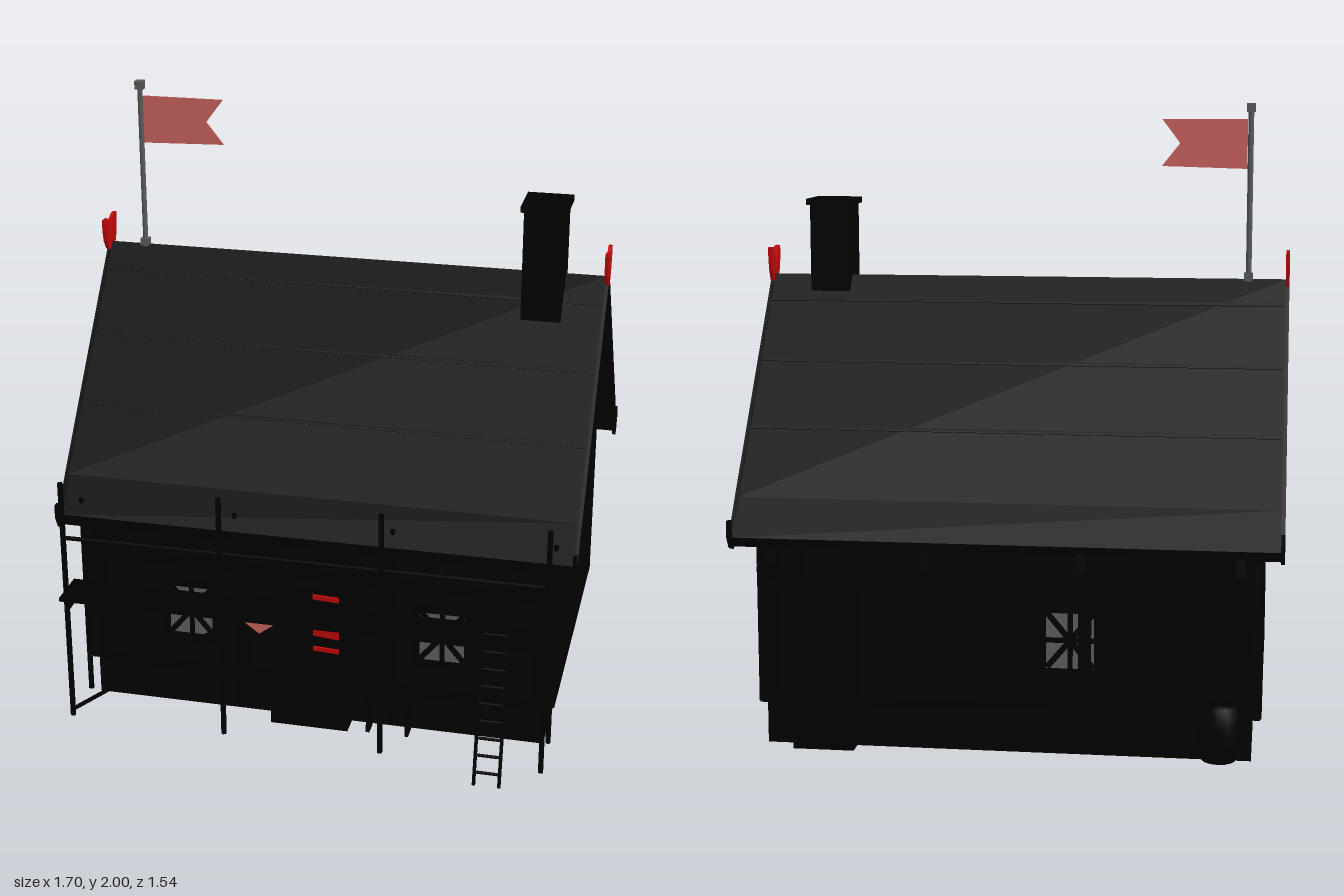
import * as THREE from 'three';

const mat = (name, color) => {
  const m = new THREE.MeshStandardMaterial({ color });
  m.name = name;
  return m;
};

export function createModel() {
  const house = new THREE.Group();
  house.name = 'house';
  const wallMat = mat('charcoal wall', 0x010101);
  const timber = mat('black timber', 0x000000);
  const red = mat('red paint', 0xc00808);
  const pink = mat('faded red cloth', 0xc9635d);
  const glass = mat('window grey', 0x606064);
  const metal = mat('pole grey', 0x5a5a5c);

  const add = (name, geo, material, x = 0, y = 0, z = 0, parent = house) => {
    const m = new THREE.Mesh(geo, material);
    m.name = name;
    m.position.set(x, y, z);
    parent.add(m);
    return m;
  };
  // box given by its limits
  const box = (name, x0, x1, y0, y1, z0, z1, material = timber, parent = house) =>
    add(name, new THREE.BoxGeometry(x1 - x0, y1 - y0, z1 - z0), material,
      (x0 + x1) / 2, (y0 + y1) / 2, (z0 + z1) / 2, parent);
  // round or square bar between two points
  const bar = (name, a, b, r, material = timber, sides = 6, parent = house) => {
    const p = new THREE.Vector3(...a), q = new THREE.Vector3(...b);
    const d = q.clone().sub(p);
    const m = add(name, new THREE.CylinderGeometry(r, r, d.length(), sides), material, 0, 0, 0, parent);
    m.position.copy(p).add(q).multiplyScalar(0.5);
    m.quaternion.setFromUnitVectors(new THREE.Vector3(0, 1, 0), d.normalize());
    return m;
  };
  const extrude = (pts, depth) => new THREE.ExtrudeGeometry(
    new THREE.Shape(pts.map(p => new THREE.Vector2(...p))), { depth, bevelEnabled: false });
  // (z, y) profile extruded along x from x0 to x1
  const profile = (name, pts, x0, x1, material = timber) => {
    const m = add(name, extrude(pts, x1 - x0), material, x1, 0, 0);
    m.rotation.y = -Math.PI / 2;
    return m;
  };

  // walls, open underneath
  box('frontWall', -0.76, 0.76, 0, 0.72, 0.41, 0.43, wallMat);
  box('backWall', -0.76, 0.76, 0, 0.73, -0.62, -0.6, wallMat);
  const gable = y => [[0.43, y], [0.43, 0.74], [-0.105, 1.39], [-0.62, 0.75], [-0.62, y]];
  for (const s of [-1, 1]) {
    profile('gableWall', gable(0), s * 0.75 - 0.01, s * 0.75 + 0.01, wallMat);
    profile('gableCladding', gable(0.13), s * 0.7725 - 0.0125, s * 0.7725 + 0.0125, wallMat);
  }

  // roof with flared eaves
  profile('roof', [[0.5, 0.69], [0.42, 0.8], [-0.105, 1.44], [-0.62, 0.79], [-0.71, 0.68],
    [-0.7, 0.65], [-0.62, 0.74], [-0.105, 1.385], [0.42, 0.745], [0.49, 0.65]], -0.84, 0.84);
  for (const s of [-1, 1]) {
    // verge boards with upturned tips
    profile('vergeBoard', [[0.5, 0.695], [0.42, 0.802], [-0.105, 1.445], [-0.62, 0.795], [-0.7, 0.69],
      [-0.715, 0.7], [-0.71, 0.735], [-0.73, 0.735], [-0.735, 0.69], [-0.71, 0.65], [-0.69, 0.64],
      [-0.62, 0.73], [-0.105, 1.37], [0.42, 0.735], [0.48, 0.64], [0.51, 0.65], [0.53, 0.69],
      [0.53, 0.735], [0.51, 0.735], [0.51, 0.7]], s * 0.845 - 0.006, s * 0.845 + 0.006);
    // ridge ornament
    const heart = [[-0.1, 1.405], [-0.07, 1.425], [-0.05, 1.455], [-0.042, 1.495], [-0.042, 1.53],
      [-0.07, 1.53], [-0.085, 1.52], [-0.1, 1.475], [-0.115, 1.52], [-0.13, 1.53], [-0.157, 1.53],
      [-0.155, 1.495], [-0.147, 1.455], [-0.13, 1.42]];
    profile('ridgeOrnament', heart, s * 0.845 - 0.006, s * 0.845 + 0.006, red);
  }
  // shingle course edges
  for (const t of [0.12, 0.4, 0.7]) {
    for (const [z, y] of [[0.42, 0.8], [-0.62, 0.79]]) {
      const pz = -0.105 + (z + 0.105) * t, py = 1.44 + (y - 1.44) * t;
      const m = box('shingleEdge', -0.835, 0.835, py - 0.003, py + 0.003, pz - 0.006, pz + 0.006);
      m.rotation.x = z > 0 ? 0.89 : -0.9;
    }
  }
  // eave brackets, reaching up into the roof
  for (const x of [-0.72, -0.24, 0.24, 0.72]) {
    profile('eaveBracket', [[0.43, 0.75], [0.43, 0.63], [0.48, 0.57], [0.5, 0.58], [0.495, 0.67]], x - 0.015, x + 0.015);
    profile('eaveBracket', [[-0.62, 0.76], [-0.62, 0.63], [-0.69, 0.57], [-0.71, 0.6], [-0.7, 0.67]], x - 0.015, x + 0.015);
  }

  // timber frame on long walls and gables
  for (const z of [0.433, -0.623]) {
    for (let i = 0; i < 7; i++) {
      const x = -0.735 + i * 0.245;
      if (Math.abs(Math.abs(x) - 0.49) > 0.02 && i !== 3) box('wallPost', x - 0.02, x + 0.02, 0.13, 0.7, z - 0.005, z + 0.005);
    }
    for (const y of [0.14, 0.53, 0.68]) box('wallBeam', -0.755, 0.755, y - 0.018, y + 0.018, z - 0.005, z + 0.005);
  }
  for (const s of [-1, 1]) {
    const x = s * 0.786;
    for (const [z, top] of [[0.4, 0.74], [0.17, 1.03], [-0.38, 1.02], [-0.59, 0.75]])
      box('gablePost', x - 0.004, x + 0.004, 0.14, top, z - 0.018, z + 0.018);
    for (const [y, a, b] of [[0.15, -0.61, 0.42], [0.55, -0.61, 0.42], [0.74, -0.6, 0.42], [1.05, -0.36, 0.15]])
      box('gableBeam', x - 0.004, x + 0.004, y - 0.018, y + 0.018, a, b);
  }

  // windows: pane through the wall, frame and star-shaped bars outside, plain cross inside
  const addWindow = (x, y, z, turn, depth, rim) => {
    const g = new THREE.Group();
    g.name = 'window';
    g.position.set(x, y, z);
    g.rotation.y = turn;
    house.add(g);
    const w = 0.075, h = 0.09;
    box('pane', -w, w, -h, h, -depth - 0.004, 0.002, glass, g);
    box('glazingBar', -0.008, 0.008, -h, h, -depth - 0.008, 0.006, timber, g);
    box('glazingBar', -w, w, -0.008, 0.008, -depth - 0.008, 0.006, timber, g);
    for (const s of [-1, 1]) {
      const cross = box('crossBar', -0.112, 0.112, -0.009, 0.009, 0, 0.006, timber, g);
      cross.rotation.z = s * Math.atan2(h, w);
      box('frameSide', s * 0.087 - 0.012, s * 0.087 + 0.012, -h - 0.02, h + 0.02, -depth - 0.008, rim, timber, g);
      box('frameRail', -w - 0.02, w + 0.02, s * 0.1 - 0.01, s * 0.1 + 0.01, -depth - 0.008, rim, timber, g);
    }
  };
  addWindow(-0.425, 0.355, 0.43, 0, 0.02, 0.02);
  addWindow(0.42, 0.355, 0.43, 0, 0.02, 0.02);
  addWindow(-0.2, 0.365, -0.62, Math.PI, 0.02, 0.02);
  addWindow(-0.785, 0.34, -0.1, -Math.PI / 2, 0.045, 0.007);
  addWindow(-0.785, 0.93, -0.1, -Math.PI / 2, 0.045, 0.007);

  // front door, step and bench
  box('frontDoor', -0.12, 0.09, 0.05, 0.48, 0.43, 0.438);
  box('frontStep', -0.14, 0.12, 0, 0.06, 0.43, 0.5);
  box('benchSeat', 0.17, 0.33, 0.112, 0.124, 0.435, 0.492);
  for (const x of [0.18, 0.31]) box('benchLeg', x, x + 0.012, 0, 0.112, 0.44, 0.49);

  // shield sign and slanted stripes on the door
  add('shieldSign', extrude([[-0.048, 0.42], [-0.048, 0.335], [0, 0.3], [0.048, 0.335], [0.048, 0.42]], 0.008),
    pink, -0.191, 0, 0.44);
  box('signBracket', -0.245, -0.14, 0.42, 0.43, 0.43, 0.45);
  for (const [y0, y1, slant] of [[0.443, 0.463, 0.004], [0.388, 0.423, 0.012], [0.306, 0.358, 0.008], [0.254, 0.272, 0.004]])
    add('doorStripe', extrude([[-0.008, y0 + slant], [0.078, y0], [0.078, y1 - slant], [-0.008, y1]], 0.008), red, 0, 0, 0.438);

  // chimney
  box('chimney', 0.58, 0.71, 1.25, 1.67, -0.146, 0.004, wallMat);
  box('chimneyCap', 0.57, 0.72, 1.67, 1.69, -0.157, 0.015, wallMat);

  // flagpole and swallowtail flag
  bar('flagpole', [-0.72, 1.43, -0.105], [-0.72, 1.98, -0.105], 0.009, metal, 8);
  box('flagpoleTop', -0.734, -0.706, 1.972, 2, -0.119, -0.091, metal);
  box('flagpoleFoot', -0.734, -0.706, 1.435, 1.46, -0.119, -0.091, metal);
  add('flag', extrude([[-0.71, 1.792], [-0.437, 1.8], [-0.495, 1.873], [-0.437, 1.95], [-0.71, 1.95]], 0.006),
    pink, 0, 0, -0.108);

  // scaffolding
  for (const x of [-0.78, -0.26, 0.26, 0.78]) {
    bar('outerPole', [x, 0.03, 0.647], [x, 0.875, 0.647], 0.009);
    bar('innerPole', [x, 0.03, 0.468], [x, 0.74, 0.468], 0.009);
    bar('crossPole', [x, 0.426, 0.47], [x, 0.426, 0.65], 0.008);
  }
  box('scaffoldDeck', -0.815, 0.81, 0.438, 0.45, 0.485, 0.627);
  bar('guardRail', [-0.785, 0.68, 0.642], [0.78, 0.68, 0.642], 0.007);
  bar('scaffoldBrace', [-0.78, 0.05, 0.644], [-0.26, 0.42, 0.644], 0.007);

  // ladder
  for (const x of [0.585, 0.665]) bar('ladderRail', [x, 0.03, 0.765], [x, 0.55, 0.65], 0.006);
  for (let i = 0; i < 9; i++) {
    const t = 0.08 + i * 0.105;
    bar('ladderRung', [0.585, 0.03 + 0.52 * t, 0.765 - 0.115 * t], [0.665, 0.03 + 0.52 * t, 0.765 - 0.115 * t], 0.005);
  }

  // rain barrel and downpipe
  const staves = [[0, 0], [0.052, 0], [0.065, 0.05], [0.067, 0.085], [0.065, 0.12], [0.054, 0.17], [0, 0.17]];
  add('rainBarrel', new THREE.LatheGeometry(staves.map(p => new THREE.Vector2(...p)), 14), timber, -0.662, 0.03, -0.7);
  bar('downpipe', [-0.662, 0.2, -0.69], [-0.662, 0.66, -0.69], 0.01);

  // back door with canopy posts and block step
  box('backDoor', 0.46, 0.63, 0.05, 0.5, -0.63, -0.62);
  box('backStep', 0.455, 0.645, 0.03, 0.13, -0.76, -0.62);
  for (const x of [0.475, 0.625]) bar('backPost', [x, 0.12, -0.69], [x, 0.66, -0.69], 0.011);

  return house;
}
